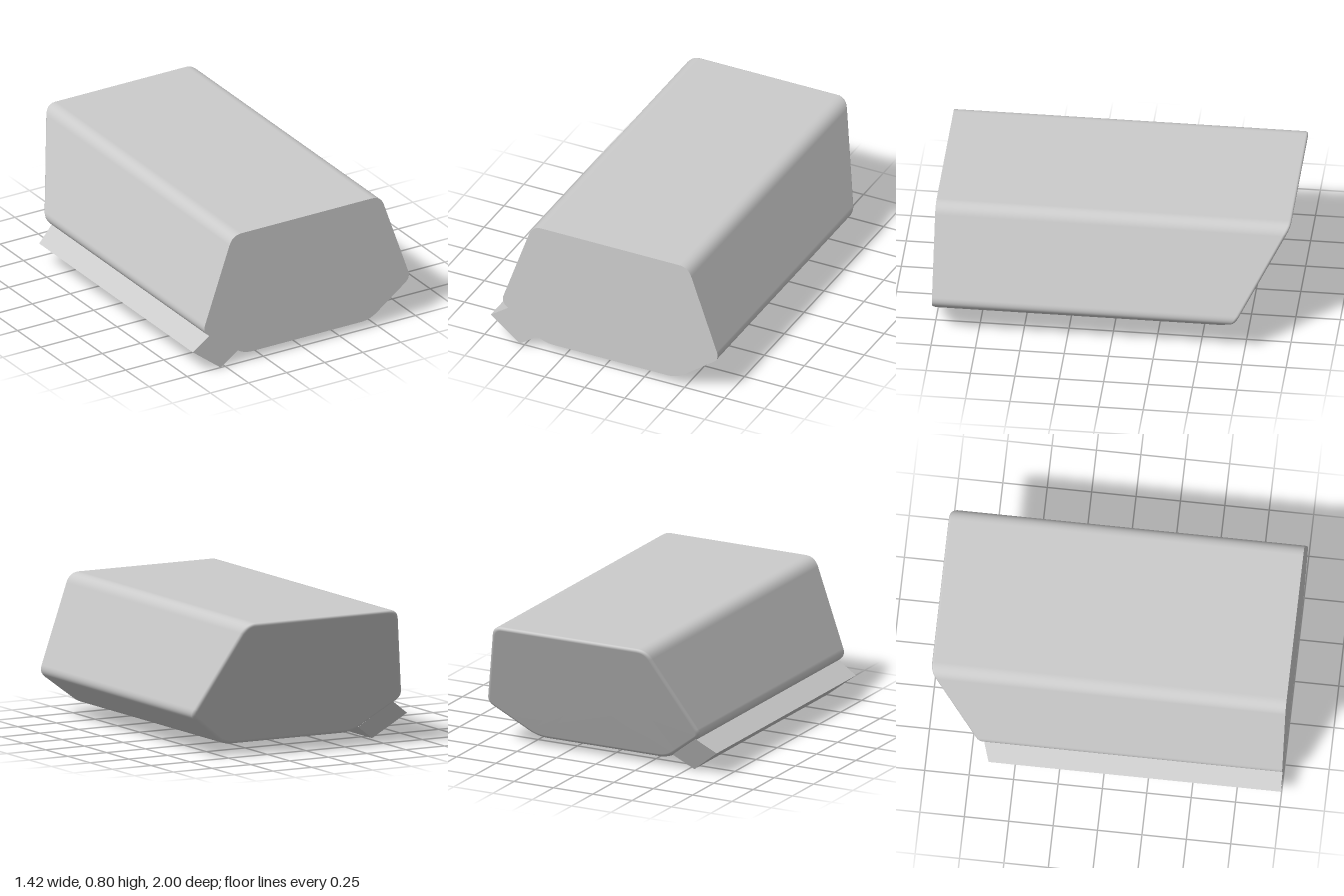
import * as THREE from 'three';

const CENTRE_X = 0.035;
// slanted plane closing the back end
const backZ = (y) => -1.006 + 0.535 * (0.8 - y);

// counter-clockwise outline of a polygon with rounded corners [x, y, cut]
function roundedOutline(corners, steps = 8) {
  const pts = [];
  const n = corners.length;
  corners.forEach(([x, y, cut], i) => {
    const c = new THREE.Vector2(x, y);
    const toward = ([px, py]) => new THREE.Vector2(px, py).sub(c).setLength(cut).add(c);
    const curve = new THREE.QuadraticBezierCurve(
      toward(corners[(i + n - 1) % n]), c, toward(corners[(i + 1) % n]));
    pts.push(...curve.getPoints(steps));
  });
  return pts;
}

// outline moved inward by d
function inset(pts, d) {
  const n = pts.length;
  return pts.map((p, i) => {
    const a = pts[(i + n - 1) % n], b = pts[(i + 1) % n];
    const e1 = p.clone().sub(a).normalize(), e2 = b.clone().sub(p).normalize();
    const t = e1.add(e2).normalize();
    return new THREE.Vector2(p.x - t.y * d, p.y + t.x * d);
  });
}

function bodyShell(outline) {
  const r = 0.022, bevelSteps = 5, n = outline.length;
  const pos = [], index = [];
  const addRing = (pts, zAt) => pts.forEach((p) => pos.push(p.x, p.y, zAt(p.y)));

  // straight sides, then a rounded edge into the slanted back
  addRing(outline, () => 1);
  for (let k = 0; k <= bevelSteps; k++) {
    const a = (k / bevelSteps) * Math.PI / 2;
    addRing(inset(outline, r * (1 - Math.cos(a))), (y) => backZ(y) + r * (1 - Math.sin(a)));
  }
  const rings = bevelSteps + 2;
  for (let k = 0; k < rings - 1; k++) {
    for (let i = 0; i < n; i++) {
      const j = (i + 1) % n;
      const a = k * n + i, b = k * n + j, c = a + n, d = b + n;
      index.push(a, c, b, b, c, d);
    }
  }
  // back face
  const centre = pos.length / 3, last = (rings - 1) * n;
  pos.push(CENTRE_X, 0.42, backZ(0.42));
  for (let i = 0; i < n; i++) index.push(centre, last + (i + 1) % n, last + i);

  const geo = new THREE.BufferGeometry();
  geo.setAttribute('position', new THREE.Float32BufferAttribute(pos, 3));
  geo.setIndex(index);
  geo.computeVertexNormals();
  return geo;
}

export function createModel() {
  const model = new THREE.Group();
  const material = new THREE.MeshStandardMaterial({ color: 0xcccccc });
  const add = (name, geo) => {
    const mesh = new THREE.Mesh(geo, material);
    mesh.name = name;
    model.add(mesh);
  };

  // six-sided body with softened corners
  const half = [[0.415, 0.05, 0.06], [0.682, 0.247, 0.045], [0.487, 0.8, 0.06]];
  const corners = [
    ...half.map(([x, y, c]) => [CENTRE_X + x, y, c]),
    ...half.slice().reverse().map(([x, y, c]) => [CENTRE_X - x, y, c]),
  ];
  const outline = roundedOutline(corners);
  add('body', bodyShell(outline));

  // flat front end
  const front = new THREE.ShapeGeometry(new THREE.Shape(outline));
  front.translate(0, 0, 1);
  add('frontFace', front);

  // rail along the lower right edge, cut off on the same slant
  const section = new THREE.Shape([
    [-0.712, 0.143], [-0.53, 0.003], [-0.415, 0.083], [-0.597, 0.223],
  ].map(([x, y]) => new THREE.Vector2(x, y - 0.003)));
  const rail = new THREE.ExtrudeGeometry(section, { depth: 1, bevelEnabled: false });
  const p = rail.attributes.position;
  for (let i = 0; i < p.count; i++) p.setZ(i, p.getZ(i) > 0.5 ? 1 : backZ(p.getY(i)) + 0.008);
  rail.computeVertexNormals();
  add('sideRail', rail);

  return model;
}
